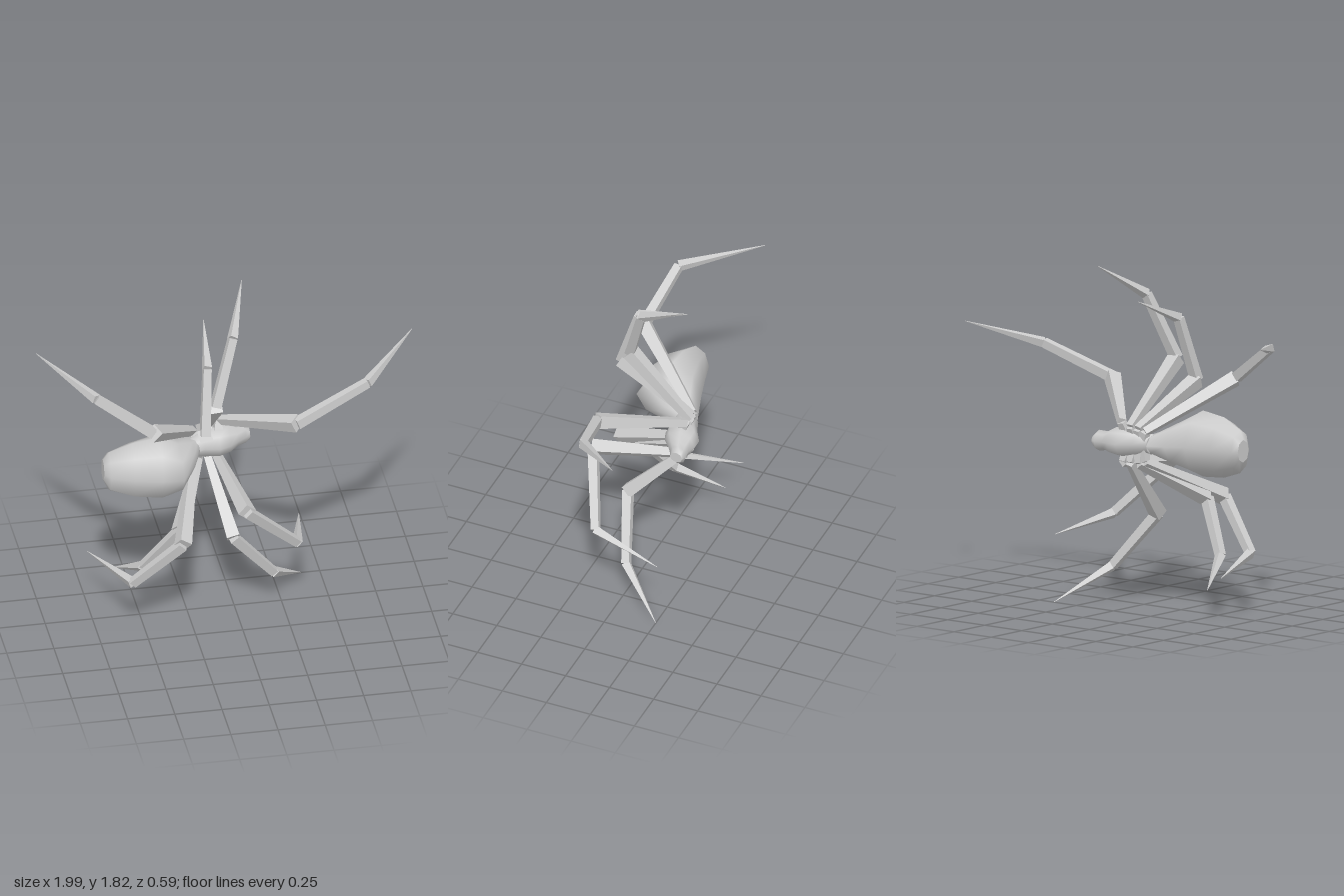
import * as THREE from 'three';

const V = (p) => new THREE.Vector3(...p);

// Square tapering bar from a to b; wa and wb are its end widths
function bar(name, a, b, wa, wb, material) {
  const from = V(a), to = V(b);
  const dir = to.clone().sub(from);
  const length = dir.length();
  dir.normalize();
  const geo = new THREE.CylinderGeometry(wb * Math.SQRT1_2, wa * Math.SQRT1_2, length, 4);
  geo.rotateY(Math.PI / 4);
  const side = dir.clone().cross(new THREE.Vector3(0, 0, 1)).normalize();
  const up = side.clone().cross(dir);
  const m = new THREE.Matrix4().makeBasis(side, dir, up);
  m.setPosition(from.add(to).multiplyScalar(0.5));
  geo.applyMatrix4(m);
  const mesh = new THREE.Mesh(geo, material);
  mesh.name = name;
  return mesh;
}

// Loft of eight-sided rings along x: [x, yLow, yHigh, zLow, zHigh], with flat end caps
function loft(name, rings, material) {
  const sides = 8, pos = [], index = [];
  const addRing = ([x, y0, y1, z0, z1]) => {
    for (let j = 0; j < sides; j++) {
      const a = (j / sides) * Math.PI * 2;
      pos.push(x, (y0 + y1) / 2 + ((y1 - y0) / 2) * Math.cos(a), (z0 + z1) / 2 + ((z1 - z0) / 2) * Math.sin(a));
    }
  };
  rings.forEach(addRing);
  for (let i = 0; i < rings.length - 1; i++) {
    for (let j = 0; j < sides; j++) {
      const a = i * sides + j, b = i * sides + ((j + 1) % sides);
      index.push(a, b, a + sides, b, b + sides, a + sides);
    }
  }
  [rings[0], rings[rings.length - 1]].forEach((ring, end) => {
    const base = pos.length / 3;
    addRing(ring);
    for (let j = 1; j < sides - 1; j++) {
      if (end) index.push(base, base + j, base + j + 1);
      else index.push(base, base + j + 1, base + j);
    }
  });
  const geo = new THREE.BufferGeometry();
  geo.setAttribute('position', new THREE.Float32BufferAttribute(pos, 3));
  geo.setIndex(index);
  geo.computeVertexNormals();
  const mesh = new THREE.Mesh(geo, material);
  mesh.name = name;
  return mesh;
}

export function createModel() {
  const model = new THREE.Group();
  model.name = 'spider';
  const smooth = new THREE.MeshStandardMaterial({ color: 0xcccccc });
  const flat = new THREE.MeshStandardMaterial({ color: 0xcccccc, flatShading: true });

  // Swollen abdomen narrowing to the waist
  model.add(loft('abdomen', [
    [-0.69, 0.83, 0.95, -0.07, 0.02],
    [-0.66, 0.77, 1.0, -0.09, 0.06],
    [-0.54, 0.73, 1.05, -0.12, 0.12],
    [-0.4, 0.72, 1.07, -0.16, 0.16],
    [-0.29, 0.77, 1.01, -0.195, 0.16],
    [-0.2, 0.83, 0.95, -0.225, 0.0],
    [-0.16, 0.85, 0.93, -0.235, -0.11],
  ], smooth));

  // Thorax and blunt head
  model.add(loft('thoraxAndHead', [
    [-0.2, 0.84, 0.94, -0.23, -0.1],
    [-0.13, 0.82, 0.965, -0.255, -0.12],
    [-0.05, 0.81, 0.97, -0.3, -0.11],
    [0.01, 0.82, 0.965, -0.3, -0.13],
    [0.055, 0.84, 0.94, -0.285, -0.17],
    [0.1, 0.835, 0.945, -0.29, -0.2],
    [0.125, 0.86, 0.92, -0.28, -0.21],
  ], smooth));

  // Legs: hip, knee, ankle, tip
  const legs = {
    upperLegOne: [[-0.04, 1.0, -0.23], [0.31, 1.15, 0.12], [0.7, 1.3, 0.03], [0.99, 1.42, -0.26]],
    upperLegTwo: [[-0.1, 0.98, -0.23], [-0.12, 1.3, 0.12], [-0.01, 1.64, 0.01], [0.09, 1.815, -0.27]],
    upperLegThree: [[-0.14, 0.97, -0.22], [-0.19, 1.18, 0.2], [-0.16, 1.52, 0.09], [-0.125, 1.64, -0.2]],
    upperLegFour: [[-0.18, 0.96, -0.21], [-0.46, 1.22, 0.19], [-0.75, 1.42, 0.12], [-1.0, 1.495, -0.26]],
    lowerLegOne: [[-0.05, 0.79, -0.23], [0.02, 0.73, 0.27], [0.31, 0.43, 0.13], [0.39, 0.36, -0.255]],
    lowerLegTwo: [[-0.1, 0.79, -0.23], [-0.02, 0.47, 0.09], [0.21, 0.18, 0.0], [0.4, 0.0, -0.25]],
    lowerLegThree: [[-0.15, 0.79, -0.22], [-0.31, 0.58, 0.14], [-0.49, 0.31, 0.03], [-0.6, 0.17, -0.21]],
    lowerLegFour: [[-0.18, 0.8, -0.21], [-0.32, 0.57, 0.27], [-0.57, 0.31, 0.18], [-0.73, 0.255, -0.255]],
  };
  for (const [name, [hip, knee, ankle, tip]] of Object.entries(legs)) {
    const leg = new THREE.Group();
    leg.name = name;
    const root = [hip[0] * 0.8 - 0.02, 0.89 + (hip[1] - 0.89) * 0.4, -0.2];
    leg.add(bar('hipJoint', root, hip, 0.05, 0.035, flat));
    leg.add(bar('thigh', hip, knee, 0.038, 0.068, flat));
    leg.add(bar('shin', knee, ankle, 0.05, 0.042, flat));
    leg.add(bar('foot', ankle, tip, 0.042, 0.002, flat));
    model.add(leg);
  }
  return model;
}
